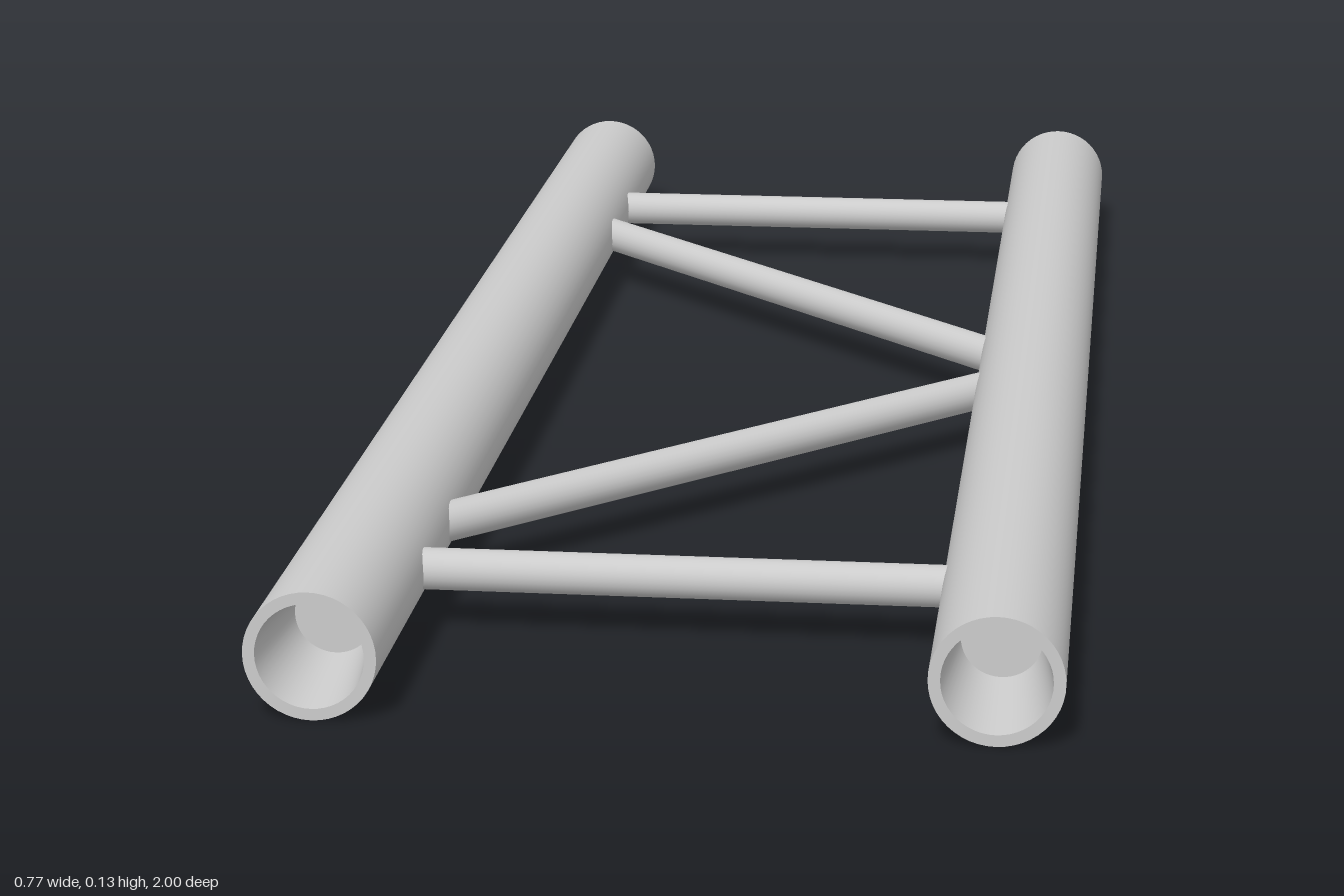
import * as THREE from 'three';

const TUBE_X = 0.32, TUBE_R = 0.0635, BRACE_R = 0.021;
const COUPLER = 0.115; // length of each socketed end piece

export function createModel() {
  const model = new THREE.Group();
  model.name = 'ladderTruss';
  const material = new THREE.MeshStandardMaterial({ color: 0xcccccc });

  // Each profile segment is its own lathe, so the rims stay sharp and the walls smooth.
  function turned(name, profile) {
    const group = new THREE.Group();
    group.name = name;
    for (let i = 0; i < profile.length - 1; i++) {
      const points = [profile[i], profile[i + 1]].map(([r, y]) => new THREE.Vector2(r, y));
      const mesh = new THREE.Mesh(new THREE.LatheGeometry(points, 48), material);
      mesh.name = name + 'Surface';
      group.add(mesh);
    }
    return group;
  }

  // Round bar between two points in the plane of the truss.
  function brace(name, x1, z1, x2, z2) {
    const a = new THREE.Vector3(x1, TUBE_R, z1);
    const b = new THREE.Vector3(x2, TUBE_R, z2);
    const dir = b.clone().sub(a);
    const mesh = new THREE.Mesh(new THREE.CylinderGeometry(BRACE_R, BRACE_R, dir.length(), 24), material);
    mesh.name = name;
    mesh.position.copy(a).add(b).multiplyScalar(0.5);
    mesh.quaternion.setFromUnitVectors(new THREE.Vector3(0, 1, 0), dir.normalize());
    model.add(mesh);
  }

  // Main chords, with a tapered socket in both ends
  const inner = 1 - COUPLER;
  for (const [side, x] of [['left', TUBE_X], ['right', -TUBE_X]]) {
    const chord = new THREE.Group();
    chord.name = side + 'Chord';
    chord.add(turned('mainTube', [[TUBE_R, -inner], [TUBE_R, inner]]));
    for (const end of ['front', 'back']) {
      const coupler = turned(end + 'Coupler', [
        [TUBE_R, inner], [TUBE_R, 1], [0.052, 1], [0.039, inner], [0, inner],
      ]);
      if (end === 'back') coupler.rotation.x = Math.PI;
      chord.add(coupler);
    }
    chord.rotation.x = Math.PI / 2;
    chord.position.set(x, TUBE_R, 0);
    model.add(chord);
  }

  // Cross bars and diagonals, mirrored front to back
  for (const [end, s] of [['front', 1], ['back', -1]]) {
    brace(end + 'CrossBar', -0.28, s * 0.745, 0.28, s * 0.745);
    brace(end + 'Diagonal', -0.285, s * 0.622, 0.285, s * 0.052);
  }
  return model;
}
